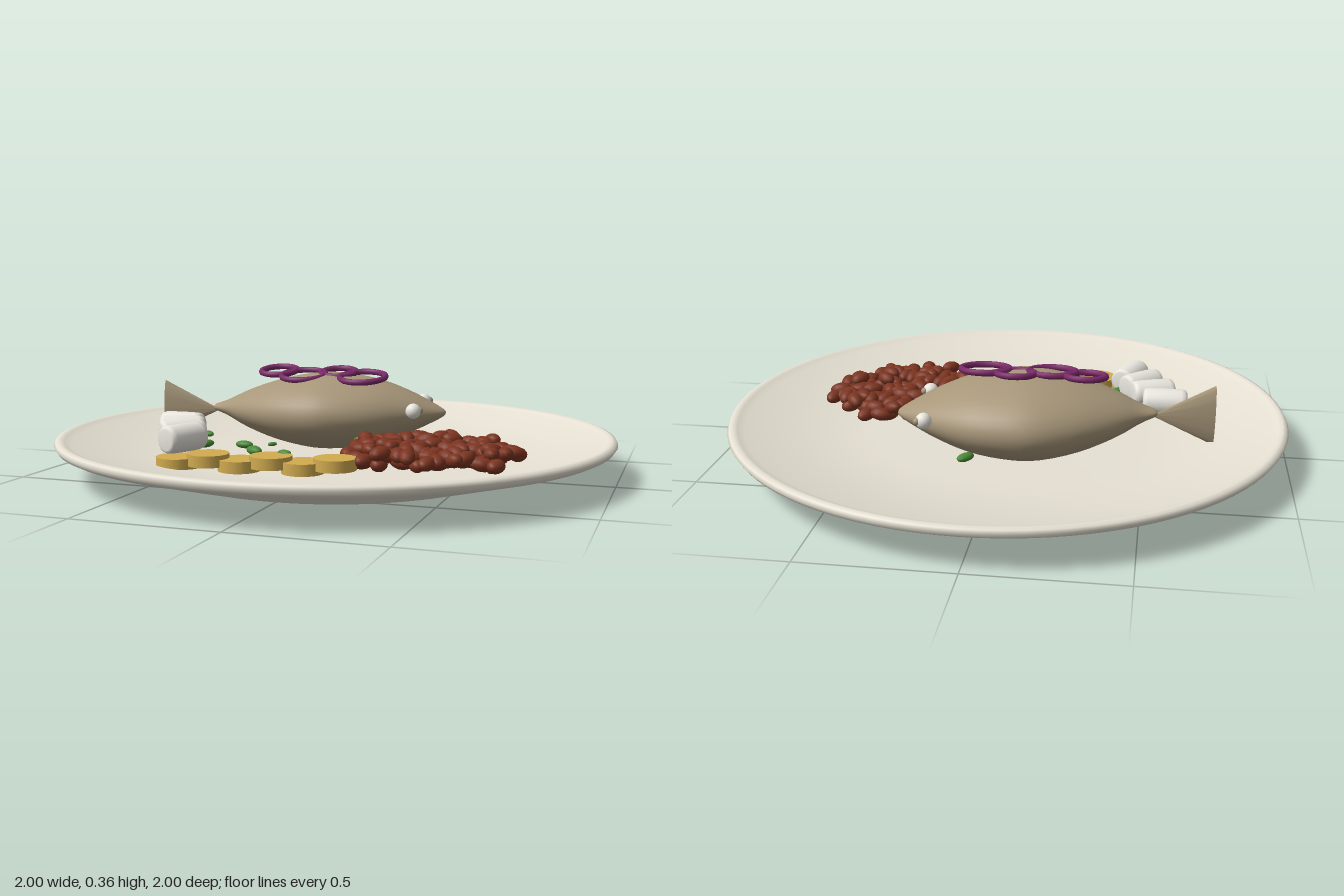
import * as THREE from 'three';

const mat = (name, color) => {
  const m = new THREE.MeshStandardMaterial({ color });
  m.name = name;
  return m;
};

export function createModel() {
  const root = new THREE.Group();
  root.name = 'fishDinner';
  const cream = mat('plate cream', 0xe6e1d3);
  const tan = mat('fish tan', 0xa8977a);
  const white = mat('off white', 0xeae8e0);
  const purple = mat('onion purple', 0x7a2a68);
  const gold = mat('potato gold', 0xd2ac50);
  const brown = mat('bean brown', 0x7c3420);
  const green = mat('herb green', 0x4c8a38);

  const add = (name, geo, material, x = 0, y = 0, z = 0, parent = root) => {
    const mesh = new THREE.Mesh(geo, material);
    mesh.name = name;
    mesh.position.set(x, y, z);
    parent.add(mesh);
    return mesh;
  };
  const lathe = (pts, seg) => new THREE.LatheGeometry(pts.map(p => new THREE.Vector2(...p)), seg);

  // Seeded random numbers
  let seed = 7;
  const rand = () => (seed = (seed * 16807) % 2147483647) / 2147483647;

  // Plate: flat foot, sloping side, rounded lip, shallow well
  add('plate', lathe([
    [0, 0], [0.59, 0], [0.615, 0.006], [0.97, 0.103], [0.99, 0.113], [1, 0.128], [0.994, 0.14],
    [0.98, 0.145], [0.965, 0.14], [0.94, 0.129], [0.8, 0.096], [0.65, 0.071], [0.5, 0.062], [0, 0.06],
  ], 96), cream);

  // Fish: lemon-shaped body and a flat fan tail
  const fish = new THREE.Group();
  fish.name = 'fish';
  fish.position.set(-0.095, 0.193, -0.182);
  fish.rotation.y = 0.134;
  root.add(fish);
  const outline = new THREE.SplineCurve([
    [0, -0.45], [0.022, -0.445], [0.06, -0.39], [0.14, -0.3], [0.222, -0.17], [0.268, -0.03],
    [0.262, 0.08], [0.222, 0.2], [0.15, 0.31], [0.07, 0.4], [0.022, 0.444], [0, 0.45],
  ].map(p => new THREE.Vector2(...p)));
  const bodyPts = outline.getPoints(36).map(p => [Math.max(p.x, 0), p.y]);
  const bodyGeo = lathe(bodyPts, 40).rotateZ(-Math.PI / 2).scale(1, 0.53, 1);
  add('fishBody', bodyGeo, tan, 0, 0, 0, fish);
  const tailGeo = new THREE.ConeGeometry(0.11, 0.22, 12).rotateZ(-Math.PI / 2).scale(1, 1, 0.2);
  add('fishTail', tailGeo, tan, -0.54, -0.01, 0, fish);

  // Eyes with small pupils
  for (const [x, z] of [[0.232, -0.375], [0.27, -0.075]]) {
    add('eye', new THREE.SphereGeometry(0.028, 16, 12), white, x, 0.217, z);
    add('pupil', new THREE.SphereGeometry(0.013, 10, 8), tan, x + 0.02, 0.219, z - 0.014);
  }

  // Onion rings leaning on the fish
  for (const [x, z, r] of [[-0.295, -0.185, 0.068], [-0.175, -0.13, 0.083],
    [-0.055, -0.19, 0.066], [0.06, -0.13, 0.085]]) {
    const ring = new THREE.TorusGeometry(r, 0.0115, 8, 32).rotateX(Math.PI / 2 + 0.14);
    add('onionRing', ring, purple, x, 0.333 - (z + 0.16) * 0.14, z);
  }

  // Potato slices overlapping in a row
  for (let i = 0; i < 6; i++) {
    add('potatoSlice', new THREE.CylinderGeometry(0.072, 0.072, 0.04, 28), gold,
      -0.405 + i * 0.108, i % 2 ? 0.1 : 0.085, 0.47 - i * 0.0135);
  }

  // White rounded pieces lying on their sides: x, z, heading
  const pieceGeo = lathe([
    [0, -0.08], [0.036, -0.08], [0.045, -0.074], [0.049, -0.06], [0.05, 0],
    [0.049, 0.06], [0.045, 0.074], [0.036, 0.08], [0, 0.08],
  ], 20).rotateZ(-Math.PI / 2);
  for (const [x, z, a] of [[-0.567, 0.105, 0], [-0.52, 0.2, 0.35], [-0.475, 0.29, 0.75], [-0.43, 0.375, 1.15]]) {
    add('palmPiece', pieceGeo, white, x, 0.152, z).rotation.y = a;
  }

  // Heap of beans, spread in a spiral with jitter
  const beanGeo = new THREE.SphereGeometry(1, 12, 8).scale(0.041, 0.024, 0.027);
  const beans = new THREE.Group();
  beans.name = 'beans';
  root.add(beans);
  for (let i = 0; i < 125; i++) {
    const r = 0.275 * Math.sqrt((i + 0.5) / 125) + (rand() - 0.5) * 0.03;
    const a = i * 2.39996 + (rand() - 0.5) * 0.15;
    const bean = add('bean', beanGeo, brown, 0.395 + r * Math.cos(a), 0.095 + rand() * 0.05,
      0.175 + r * 0.92 * Math.sin(a), beans);
    bean.rotation.set(0, rand() * Math.PI, (rand() - 0.5) * 0.5);
  }
  for (const [x, z] of [[0.655, 0.335], [0.225, 0.375], [0.685, 0.1]]) {
    add('bean', beanGeo, brown, x, 0.11, z, beans).rotation.y = 1.3;
  }

  // Herb leaves: x, z, heading, length
  const leafGeo = new THREE.SphereGeometry(1, 12, 8).scale(1, 0.4, 0.55);
  for (const [x, z, a, s] of [[0.08, -0.435, 0.9, 0.035], [0.115, 0.035, 0.9, 0.04], [0.26, 0.08, 0.4, 0.03],
    [-0.475, 0.08, -0.5, 0.028], [-0.25, 0.26, -0.1, 0.034], [-0.16, 0.222, 0.9, 0.018],
    [-0.17, 0.36, -0.7, 0.04], [-0.055, 0.372, -0.2, 0.026], [-0.385, 0.285, 1.2, 0.034]]) {
    const leaf = add('herbLeaf', leafGeo, green, x, 0.12, z);
    leaf.rotation.y = a;
    leaf.scale.setScalar(s);
  }
  return root;
}
